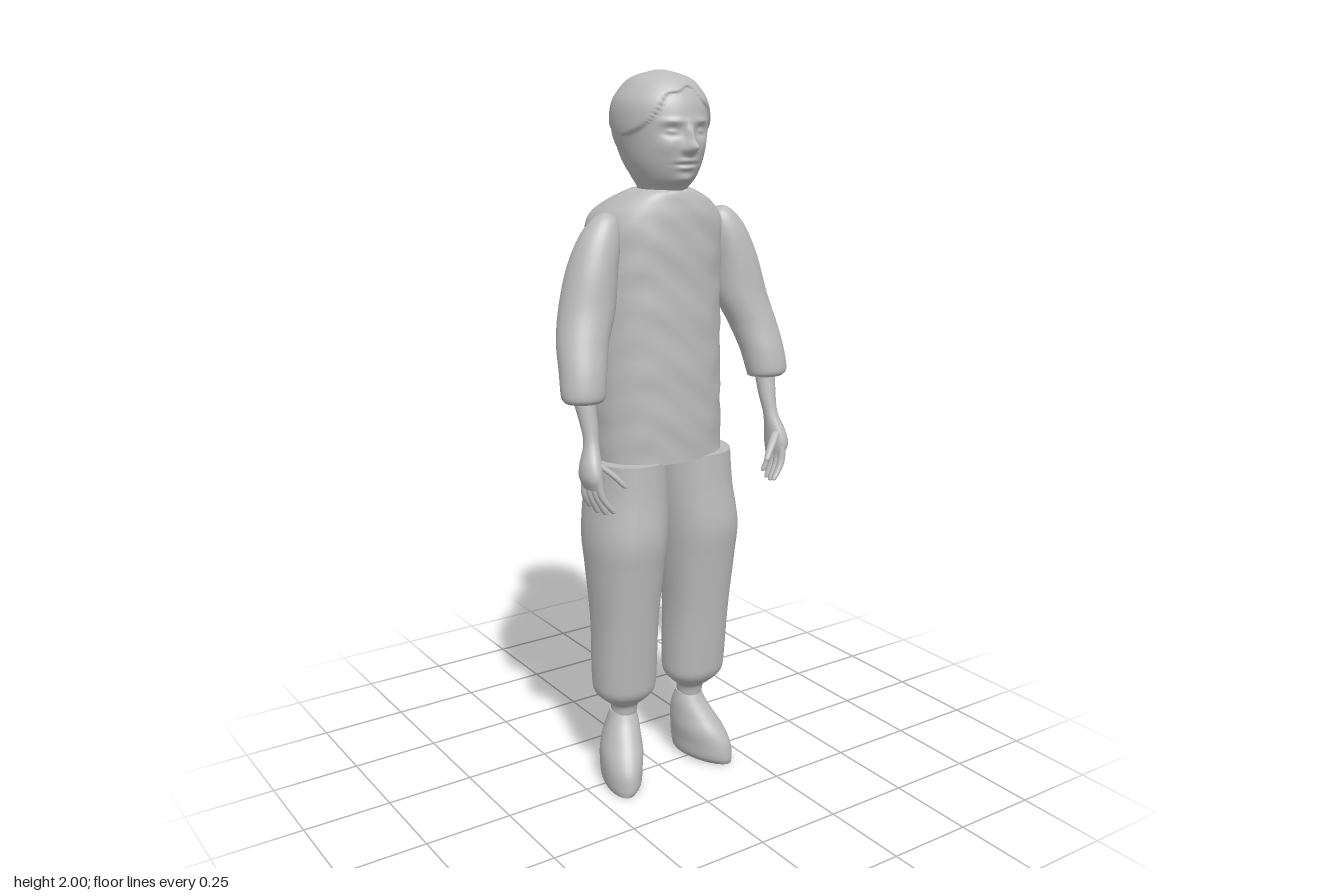
import * as THREE from 'three';
import { mergeGeometries } from 'three/addons/utils/BufferGeometryUtils.js';

const clay = new THREE.MeshStandardMaterial({ color: 0xbcbcbc, side: THREE.DoubleSide });
clay.name = 'light grey';

// Smooth body through horizontal sections [x, y, z, radiusX, radiusZ, yaw], listed upward.
// side mirrors and dx shifts in x; power squares the outline; rule moves each vertex.
function loft(sections, { side = 1, dx = 0, rings = 40, segs = 32, power = 2, rule } = {}) {
  const curve = (pts) => new THREE.CatmullRomCurve3(pts, false, 'catmullrom', 0.5);
  const centre = curve(sections.map(([x, y, z]) => new THREE.Vector3(x * side + dx, y, z)));
  const size = curve(sections.map(([, , , rx, rz, yaw = 0]) => new THREE.Vector3(rx, rz, yaw * side)));
  const pos = [], index = [];
  const v = new THREE.Vector3();
  const shape = (c) => Math.sign(c) * Math.abs(c) ** (2 / power);
  for (let i = 0; i <= rings; i++) {
    const c = centre.getPoint(i / rings), r = size.getPoint(i / rings);
    for (let j = 0; j < segs; j++) {
      const a = (j / segs) * Math.PI * 2;
      v.set(shape(Math.sin(a)) * Math.max(r.x, 0.001), 0, shape(Math.cos(a)) * Math.max(r.y, 0.001));
      v.applyAxisAngle(THREE.Object3D.DEFAULT_UP, r.z).add(c);
      if (rule) rule(v, a);
      pos.push(v.x, v.y, v.z);
      if (i < rings) {
        const p = i * segs + j, q = i * segs + (j + 1) % segs;
        index.push(p, q, p + segs, q, q + segs, p + segs);
      }
    }
  }
  // flat ends with their own vertices, so the rims stay sharp
  for (const end of [0, 1]) {
    const start = end * rings * segs, base = pos.length / 3, c = centre.getPoint(end);
    pos.push(...pos.slice(start * 3, (start + segs) * 3), c.x, c.y, c.z);
    for (let j = 0; j < segs; j++) {
      const a = base + j, b = base + (j + 1) % segs;
      index.push(base + segs, end ? a : b, end ? b : a);
    }
  }
  const g = new THREE.BufferGeometry();
  g.setAttribute('position', new THREE.Float32BufferAttribute(pos, 3));
  g.setIndex(index);
  g.computeVertexNormals();
  return g;
}

const bump = (v, x, y, sx, sy) => Math.exp(-(((v.x - x) / sx) ** 2) - ((v.y - y) / sy) ** 2);

// Facial relief and a raised, uneven hairline
function face(v, a) {
  const front = Math.max(0, Math.cos(a));
  let d = 0;
  d += 0.036 * bump(v, 0, 1.808, 0.015, 0.016);                        // nose tip
  d += 0.018 * bump(v, 0, 1.838, 0.011, 0.026);                        // nose bridge
  d += 0.008 * bump(v, 0, 1.775, 0.026, 0.007);                        // upper lip
  d += 0.008 * bump(v, 0, 1.757, 0.022, 0.007);                        // lower lip
  d -= 0.006 * bump(v, 0, 1.766, 0.03, 0.004);                         // mouth line
  d += 0.010 * bump(v, 0, 1.728, 0.026, 0.014);                        // chin
  for (const s of [-1, 1]) {
    d -= 0.014 * bump(v, s * 0.045, 1.848, 0.024, 0.014);              // eye socket
    d += 0.010 * bump(v, s * 0.045, 1.848, 0.014, 0.007);              // eyeball
    d += 0.006 * bump(v, s * 0.045, 1.874, 0.03, 0.008);               // brow
    d += 0.005 * bump(v, s * 0.06, 1.81, 0.022, 0.02);                 // cheek
    d += 0.005 * bump(v, s * 0.016, 1.803, 0.007, 0.008);              // nostril wing
  }
  const hairline = 1.955 - 9 * v.x * v.x + 0.006 * Math.sin(v.x * 90);
  const hair = THREE.MathUtils.smoothstep(v.y, hairline - 0.003, hairline + 0.003);
  const lift = hair * 0.007 * THREE.MathUtils.smoothstep(2.0 - v.y, 0, 0.03);
  v.z += d * front + lift * Math.cos(a);
  v.x += lift * Math.sin(a);
}

// Soft cloth wrinkles
function wrinkle(v, a) {
  const w = 0.0022 * Math.sin(v.y * 55 + 3 * Math.sin(a * 3)) * Math.sin(a * 5 + v.y * 14);
  v.x += w * Math.sin(a);
  v.z += w * Math.cos(a);
}

const torsoSections = [
  [0.008, 0.97, -0.02, 0.19, 0.138], [0.006, 1.2, -0.025, 0.19, 0.143], [0.008, 1.45, -0.035, 0.19, 0.148],
  [0.013, 1.58, -0.042, 0.192, 0.153], [0.013, 1.63, -0.038, 0.18, 0.147], [0.01, 1.665, -0.018, 0.145, 0.12],
  [0.002, 1.69, 0.005, 0.1, 0.09], [0, 1.70, 0.012, 0.075, 0.075],
];
const headSections = [
  [0, 1.68, 0.01, 0.06, 0.068], [0, 1.703, 0.02, 0.064, 0.075], [0, 1.73, 0.024, 0.08, 0.096],
  [0, 1.77, 0.018, 0.099, 0.118], [0, 1.82, 0.01, 0.112, 0.134], [0, 1.87, 0.007, 0.12, 0.137],
  [0, 1.92, 0.007, 0.115, 0.127], [0, 1.96, 0.008, 0.09, 0.101], [0, 1.985, 0.008, 0.06, 0.068],
  [0, 2.0, 0.008, 0.012, 0.014],
];
const sleeveSections = [
  [0.298, 1.172, 0.08, 0.052, 0.046], [0.3, 1.19, 0.082, 0.06, 0.054], [0.292, 1.25, 0.068, 0.064, 0.06],
  [0.277, 1.32, 0.043, 0.07, 0.066], [0.25, 1.4, 0.022, 0.077, 0.07], [0.229, 1.5, 0.015, 0.069, 0.066],
  [0.205, 1.58, 0.014, 0.057, 0.052], [0.19, 1.625, 0.014, 0.036, 0.034], [0.188, 1.643, 0.014, 0.012, 0.014],
];
const handSections = [
  [0.302, 0.955, 0.138, 0.02, 0.034], [0.306, 0.985, 0.137, 0.027, 0.042], [0.304, 1.02, 0.133, 0.026, 0.036],
  [0.295, 1.07, 0.122, 0.02, 0.022], [0.293, 1.12, 0.108, 0.024, 0.024], [0.297, 1.19, 0.088, 0.03, 0.03],
];
const trouserSections = [
  [0.107, 0.975, -0.012, 0.104, 0.13], [0.11, 0.88, -0.008, 0.108, 0.13], [0.121, 0.76, 0.002, 0.112, 0.13],
  [0.123, 0.66, 0.004, 0.105, 0.116], [0.123, 0.5, 0.002, 0.093, 0.098], [0.121, 0.34, -0.005, 0.092, 0.088],
  [0.12, 0.285, -0.006, 0.087, 0.08], [0.118, 0.255, -0.009, 0.062, 0.058], [0.116, 0.235, -0.012, 0.04, 0.04],
  [0.116, 0.205, -0.015, 0.036, 0.036],
].reverse();
const shoeSections = [
  [0.15, 0, 0.015, 0.042, 0.1, 0.3], [0.145, 0.02, 0.015, 0.054, 0.105, 0.3], [0.142, 0.06, 0.011, 0.058, 0.104, 0.3],
  [0.135, 0.1, 0.003, 0.06, 0.092, 0.28], [0.126, 0.14, -0.01, 0.054, 0.075, 0.25],
  [0.118, 0.18, -0.017, 0.046, 0.053, 0.2], [0.116, 0.212, -0.019, 0.037, 0.037, 0],
];

// Palm, wrist, four curled fingers and a thumb in one geometry
function handGeometry(side, dx) {
  const parts = [loft(handSections, { side, dx, segs: 20, rings: 24 })];
  const digit = (a, b, c, r) => parts.push(loft([
    [...c, 0.002, 0.002], [c[0], c[1] + 0.005, c[2], r * 0.75, r * 0.75],
    [...b, r, r], [...a, r * 1.1, r * 1.1],
  ], { side, dx, segs: 10, rings: 12 }));
  for (let i = 0; i < 4; i++) {
    const z = 0.108 + i * 0.02, drop = [0.012, 0, 0, 0.008][i];
    digit([0.303, 0.985, z], [0.306 - i * 0.004, 0.935, z + 0.003 * (i - 1)],
      [0.291 - i * 0.008, 0.882 + drop, z + 0.006 * (i - 1)], 0.0105);
  }
  digit([0.298, 1.025, 0.15], [0.262, 0.992, 0.172], [0.235, 0.955, 0.187], 0.0115);
  return mergeGeometries(parts);
}

export function createModel() {
  const model = new THREE.Group();
  model.name = 'standingFigure';
  const add = (name, geometry) => {
    const mesh = new THREE.Mesh(geometry, clay);
    mesh.name = name;
    model.add(mesh);
    return mesh;
  };

  add('torso', loft(torsoSections, { power: 2.2, rings: 70, segs: 56, rule: wrinkle }));
  add('head', loft(headSections, { rings: 130, segs: 112, rule: face }));

  // Rounded shell over the back half of the head
  const cap = add('backHair', new THREE.SphereGeometry(1, 40, 40, Math.PI, Math.PI));
  cap.scale.set(0.126, 0.133, 0.143);
  cap.position.set(0, 1.867, 0.013);

  for (const [label, side] of [['left', 1], ['right', -1]]) {
    add(label + 'Sleeve', loft(sleeveSections, { side, dx: 0.012 }));
    add(label + 'Hand', handGeometry(side, 0.004));
    add(label + 'TrouserLeg', loft(trouserSections, { side, dx: 0.005, rings: 60, power: 2.2 }));
    add(label + 'Shoe', loft(shoeSections, { side, dx: 0.003 }));
  }
  return model;
}
